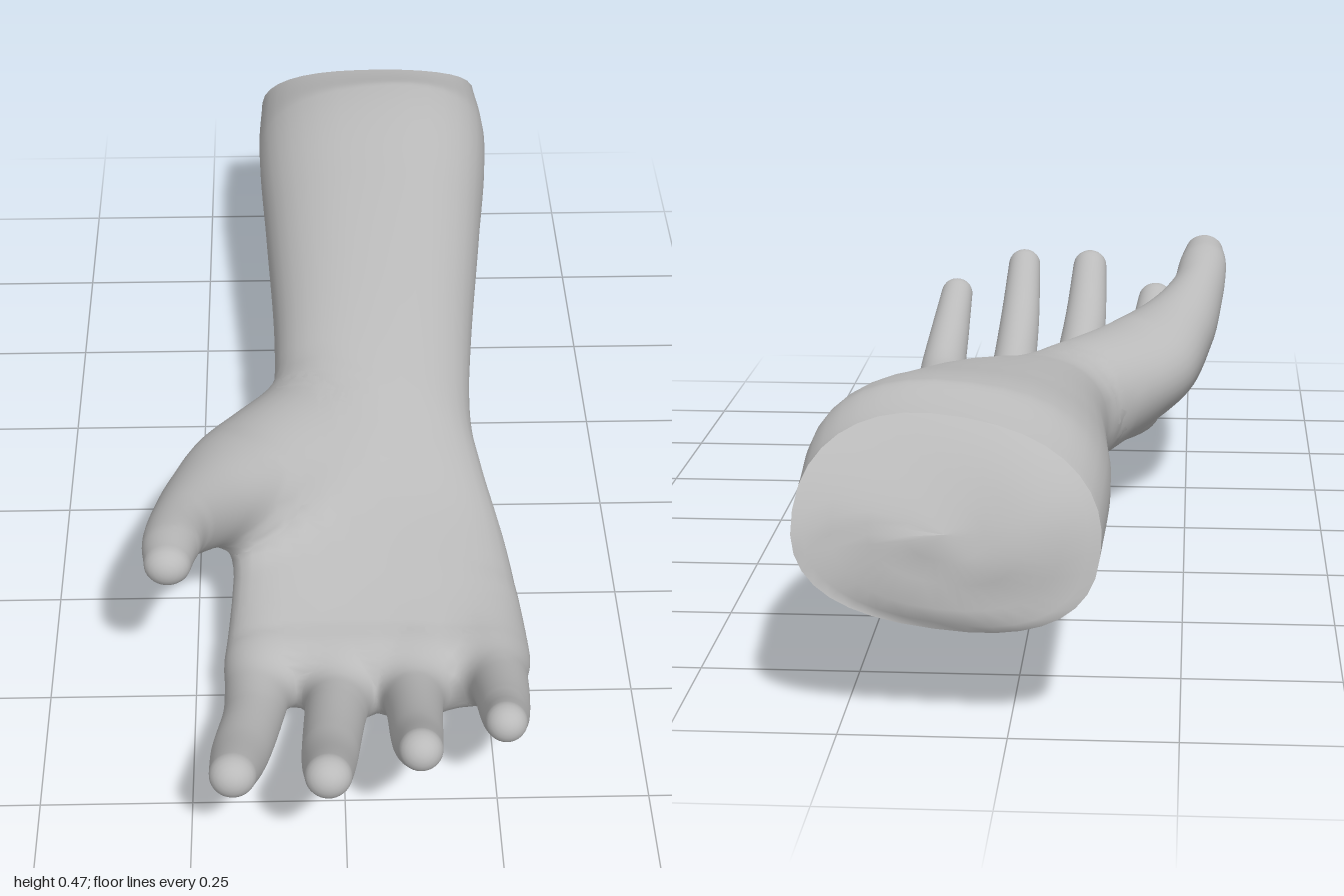
import * as THREE from 'three';

const AROUND = 36;
const POWER = 2.35;      // squareness of the forearm and palm sections
const PALM_END = 0.085;  // length of the rounded palm end
const { clamp, lerp } = THREE.MathUtils;

const angles = Array.from({ length: AROUND }, (_, j) => (j / AROUND) * Math.PI * 2);
const soft = v => Math.sign(v) * Math.pow(Math.abs(v), 2 / POWER);

// Smoothly resample rows of numbers
function resample(rows, steps) {
  const tracks = rows[0].map((_, c) => new THREE.CatmullRomCurve3(
    rows.map(r => new THREE.Vector3(r[c], 0, 0)), false, 'catmullrom', 0.5));
  return Array.from({ length: steps + 1 }, (_, i) => tracks.map(t => t.getPoint(i / steps).x));
}

// Forearm and palm: z, centre x, centre y, half width, half height, roll, palm hollow
const ARM = resample([
  [-0.98, 0.090, 0.306, 0.225, 0.144, 0.12, 0],
  [-0.75, 0.091, 0.316, 0.231, 0.159, 0.11, 0],
  [-0.50, 0.085, 0.284, 0.211, 0.151, 0.05, 0],
  [-0.20, 0.075, 0.240, 0.186, 0.134, -0.03, 0],
  [0.00, 0.065, 0.206, 0.183, 0.119, -0.11, 0],
  [0.12, 0.058, 0.190, 0.208, 0.106, -0.18, 0.01],
  [0.25, 0.060, 0.157, 0.236, 0.102, -0.20, 0.02],
  [0.40, 0.062, 0.118, 0.249, 0.098, -0.11, 0.018],
  [0.51, 0.061, 0.094, 0.251, 0.087, -0.04, 0.01],
], 72);

// Digits: x, y, z, half width, half thickness
const DIGITS = {
  thumb: [
    [0.01, 0.213, -0.04, 0.065, 0.06],
    [-0.067, 0.235, 0.09, 0.112, 0.086],
    [-0.157, 0.255, 0.22, 0.116, 0.090],
    [-0.226, 0.298, 0.34, 0.078, 0.074],
    [-0.265, 0.345, 0.45, 0.053, 0.057],
    [-0.277, 0.382, 0.54, 0.047, 0.043],
    [-0.28, 0.398, 0.605, 0.038, 0.034],
  ],
  indexFinger: [
    [-0.115, 0.105, 0.44, 0.05, 0.05],
    [-0.138, 0.097, 0.56, 0.056, 0.058],
    [-0.150, 0.117, 0.67, 0.049, 0.053],
    [-0.168, 0.168, 0.80, 0.046, 0.046],
    [-0.177, 0.230, 0.905, 0.037, 0.035],
  ],
  middleFinger: [
    [0.0, 0.09, 0.44, 0.05, 0.05],
    [-0.004, 0.082, 0.56, 0.055, 0.062],
    [-0.016, 0.119, 0.68, 0.050, 0.055],
    [-0.027, 0.195, 0.84, 0.044, 0.044],
    [-0.031, 0.289, 0.967, 0.036, 0.034],
  ],
  ringFinger: [
    [0.115, 0.09, 0.44, 0.05, 0.05],
    [0.118, 0.087, 0.55, 0.055, 0.061],
    [0.116, 0.126, 0.67, 0.046, 0.054],
    [0.112, 0.205, 0.81, 0.041, 0.043],
    [0.11, 0.299, 0.925, 0.034, 0.033],
  ],
  littleFinger: [
    [0.235, 0.1, 0.40, 0.05, 0.05],
    [0.25, 0.099, 0.51, 0.056, 0.063],
    [0.26, 0.131, 0.62, 0.047, 0.054],
    [0.256, 0.192, 0.74, 0.040, 0.042],
    [0.249, 0.255, 0.825, 0.033, 0.032],
  ],
};

// Cross-section frames along a digit
function framesOf(rows) {
  const path = new THREE.CatmullRomCurve3(
    rows.map(r => new THREE.Vector3(r[0], r[1], r[2])), false, 'catmullrom', 0.5);
  const steps = 96;
  return resample(rows, steps).map(([, , , a, b], i) => {
    const t = path.getTangent(i / steps);
    const side = new THREE.Vector3(0, 1, 0).cross(t).normalize();
    return { c: path.getPoint(i / steps), t, side, top: t.clone().cross(side), a, b };
  });
}
const FRAMES = Object.fromEntries(Object.entries(DIGITS).map(([n, rows]) => [n, framesOf(rows)]));

// Approximate signed distance to a rounded section
function sectionField(x, y, l, a, b, c, n) {
  const k0 = Math.pow(Math.abs(x / a) ** n + Math.abs(y / b) ** n + Math.abs(l / c) ** n, 1 / n);
  return k0 * (k0 - 1) / (Math.hypot(x / a / a, y / b / b, l / c / c) + 1e-6);
}

function armField(p) {
  const last = ARM.length - 1;
  let i = 0;
  while (i < last - 1 && ARM[i + 1][0] < p.z) i++;
  const f = clamp((p.z - ARM[i][0]) / (ARM[i + 1][0] - ARM[i][0]), 0, 1);
  const [, cx, cy, rx, ry, roll, hollow] = ARM[i].map((v, k) => lerp(v, ARM[i + 1][k], f));
  const dx = p.x - cx, dy = p.y - cy, c = Math.cos(roll), s = Math.sin(roll);
  const x = dx * c + dy * s, y = dy * c - dx * s;
  const dip = y > 0 ? hollow * Math.max(0, 1 - (x / rx) ** 2) : 0;
  return sectionField(x, y, Math.max(0, p.z - ARM[last][0]), rx, ry - dip, PALM_END, POWER);
}

const offset = new THREE.Vector3();
function digitField(frames, p) {
  let best = 0, near = Infinity;
  frames.forEach((f, i) => {
    const d = f.c.distanceToSquared(p);
    if (d < near) { near = d; best = i; }
  });
  const f = frames[best];
  offset.subVectors(p, f.c);
  const l = best === 0 || best === frames.length - 1 ? offset.dot(f.t) : 0;
  return sectionField(offset.dot(f.side), offset.dot(f.top), l, f.a, f.b, f.b, 2);
}

// Whole hand, with soft fillets where digits meet the palm
const blend = (a, b, k) => Math.min(a, b) - Math.max(k - Math.abs(a - b), 0) ** 2 / (4 * k);
function handField(p) {
  const { thumb, ...fingers } = FRAMES;
  const finger = Math.min(...Object.values(fingers).map(f => digitField(f, p)));
  return blend(blend(armField(p), digitField(thumb, p), 0.07), finger, 0.04);
}

const probe = new THREE.Vector3();
function slope(p) {
  const e = 0.008;
  const g = ['x', 'y', 'z'].map((axis, i) => {
    const hi = handField(probe.copy(p).setComponent(i, p[axis] + e));
    const lo = handField(probe.copy(p).setComponent(i, p[axis] - e));
    return (hi - lo) / (2 * e);
  });
  return new THREE.Vector3(...g);
}

// Skin a list of rings, counter-clockwise along the travel direction
function skin(rings) {
  const index = [];
  for (let i = 0; i < rings.length - 1; i++) {
    for (let j = 0; j < AROUND; j++) {
      const a = i * AROUND + j, b = i * AROUND + (j + 1) % AROUND;
      index.push(a, b, a + AROUND, b, b + AROUND, a + AROUND);
    }
  }
  const g = new THREE.BufferGeometry().setFromPoints(rings.flat());
  g.setIndex(index);
  g.computeVertexNormals();
  return g;
}

// Ease the hand vertices onto the filleted surface
function fillet(g) {
  const pos = g.attributes.position, nor = g.attributes.normal, p = new THREE.Vector3();
  for (let i = 0; i < pos.count; i++) {
    p.fromBufferAttribute(pos, i);
    if (p.z < -0.3 || handField(p) < -0.03) continue;
    for (let k = 0; k < 4; k++) {
      const d = handField(p);
      if (Math.abs(d) < 0.0005) break;
      const s = slope(p);
      p.addScaledVector(s, -clamp(d, -0.02, 0.02) / Math.max(s.lengthSq(), 0.3));
    }
    pos.setXYZ(i, p.x, p.y, p.z);
    const n = slope(p).normalize();
    nor.setXYZ(i, n.x, n.y, n.z);
  }
  return g;
}

// Ragged slope of the severed end
const cutZ = (y, a) => -0.985 + 0.13 * Math.max(0, (y - 0.17) / 0.28) ** 3 + 0.006 * Math.sin(3 * a);

function armRing([z, cx, cy, rx, ry, roll, hollow], scale = 1, forward = 0) {
  const w = clamp((-0.75 - z) / 0.23, 0, 1);
  return angles.map(a => {
    const u = soft(Math.cos(a)), v = soft(Math.sin(a));
    const x = rx * u * scale;
    const y = (ry - (v > 0 ? hollow * (1 - u * u) : 0)) * v * scale;
    const py = cy + x * Math.sin(roll) + y * Math.cos(roll);
    return new THREE.Vector3(cx + x * Math.cos(roll) - y * Math.sin(roll), py,
      z + forward + w * (cutZ(py, a * scale) + 0.98));
  });
}

function armGeometry() {
  const rings = ARM.map(row => armRing(row));
  for (let i = 1; i <= 8; i++) {
    const q = (i / 8) * Math.PI / 2;
    rings.push(armRing(ARM.at(-1), soft(Math.cos(q)) + 1e-4, PALM_END * soft(Math.sin(q))));
  }
  return fillet(skin(rings));
}

// Uneven surface closing the forearm
const cutGeometry = () => skin([0.001, 0.25, 0.5, 0.75, 0.92, 1].map(k =>
  armRing(ARM[0], k, -0.008 * (1 - k * k))));

function digitGeometry(frames) {
  const ring = (f, scale, forward) => angles.map(q => f.c.clone().addScaledVector(f.t, forward)
    .addScaledVector(f.side, f.a * scale * Math.cos(q))
    .addScaledVector(f.top, f.b * scale * Math.sin(q)));
  const rings = frames.filter((_, i) => i % 2 === 0).map(f => ring(f, 1, 0));
  const end = frames.at(-1);
  for (let i = 1; i <= 6; i++) {
    const q = (i / 6) * Math.PI / 2;
    rings.push(ring(end, Math.cos(q) + 1e-3, end.b * Math.sin(q)));
  }
  return fillet(skin(rings));
}

export function createModel() {
  const group = new THREE.Group();
  group.name = 'forearmAndHand';
  const material = new THREE.MeshStandardMaterial({ color: 0xbababa });
  material.name = 'plainGrey';
  const add = (name, geometry) => {
    const mesh = new THREE.Mesh(geometry, material);
    mesh.name = name;
    group.add(mesh);
  };
  add('forearmAndPalm', armGeometry());
  add('forearmEnd', cutGeometry());
  for (const [name, frames] of Object.entries(FRAMES)) add(name, digitGeometry(frames));
  return group;
}
